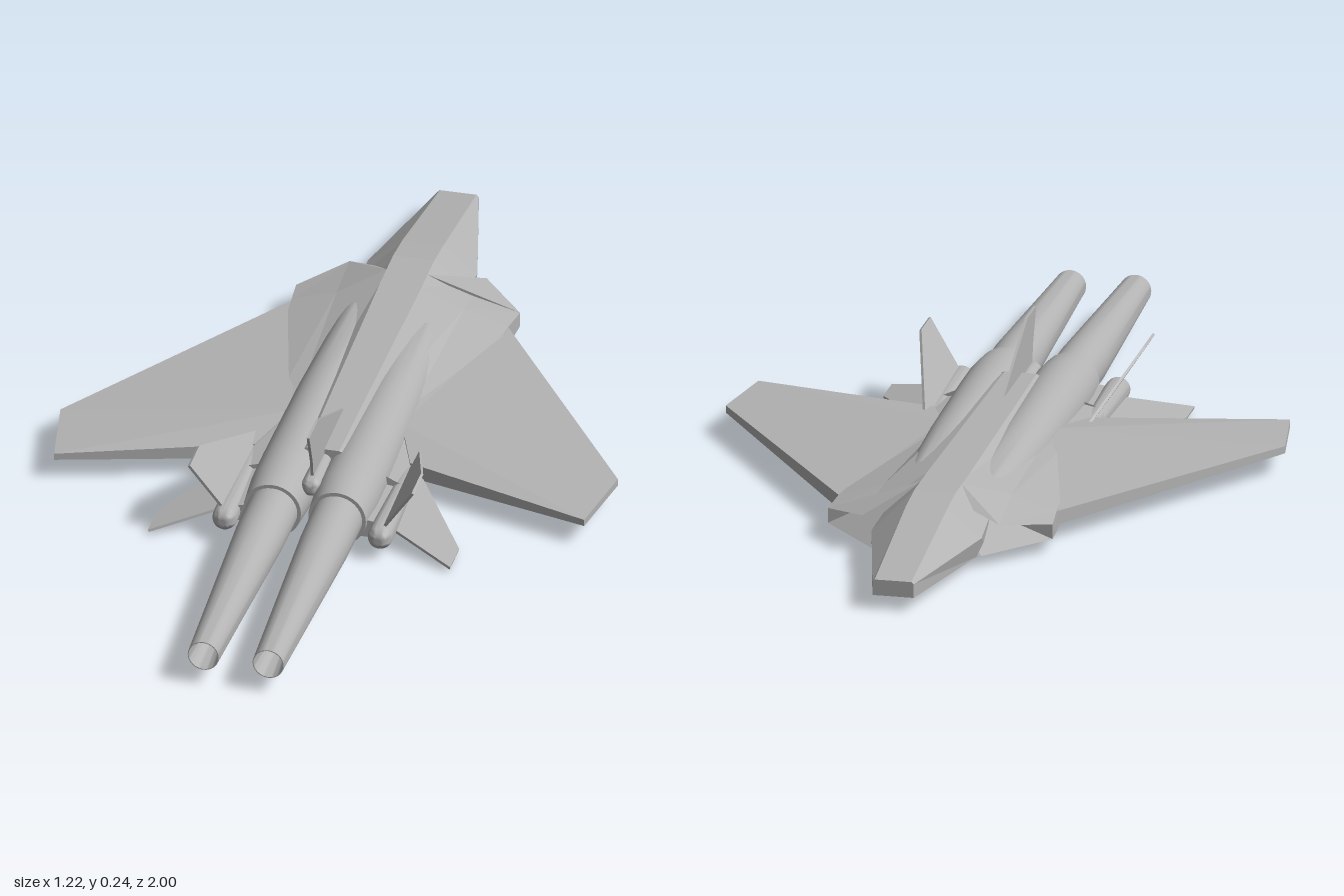
import * as THREE from 'three';
import { toCreasedNormals } from 'three/addons/utils/BufferGeometryUtils.js';

const grey = new THREE.MeshStandardMaterial({ color: 0xb2b2b2, side: THREE.DoubleSide });
grey.name = 'airframe grey';

function add(parent, name, geometry) {
  const mesh = new THREE.Mesh(geometry, grey);
  mesh.name = name;
  parent.add(mesh);
  return mesh;
}

// Faceted solid through rings of [x, y, z] points, capped at both ends
function loft(rings) {
  const pos = [];
  const tri = (a, b, c) => pos.push(...a, ...b, ...c);
  const n = rings[0].length;
  for (let r = 0; r + 1 < rings.length; r++) {
    for (let i = 0; i < n; i++) {
      const j = (i + 1) % n, p = rings[r], q = rings[r + 1];
      tri(p[i], q[i], p[j]);
      tri(p[j], q[i], q[j]);
    }
  }
  const first = rings[0], last = rings[rings.length - 1];
  for (let i = 1; i + 1 < n; i++) {
    tri(first[0], first[i], first[i + 1]);
    tri(last[0], last[i + 1], last[i]);
  }
  const g = new THREE.BufferGeometry();
  g.setAttribute('position', new THREE.Float32BufferAttribute(pos, 3));
  g.computeVertexNormals();
  return g;
}

// Complete a half section, listed from top to bottom, with its mirror image
const mirror = (half) => [...half, ...half.map(([x, y, z]) => [-x, y, z]).reverse()];
const atZ = (z, pts) => mirror(pts.map(([x, y]) => [x, y, z]));

// Flat fin of even thickness
function fin(points, t = 0.003) {
  const v = points.map((p) => new THREE.Vector3(...p));
  const n = v[1].clone().sub(v[0]).cross(v[2].clone().sub(v[0])).normalize().multiplyScalar(t);
  return loft([1, -1].map((s) => v.map((p) => p.clone().addScaledVector(n, s).toArray())));
}

// Round body along z from [radius, z] points
function turned(profile, sides = 32) {
  const g = new THREE.LatheGeometry(profile.map(([r, z]) => new THREE.Vector2(r, z)), sides);
  g.rotateX(Math.PI / 2);
  return toCreasedNormals(g, 0.6);
}

// Slim boom with a pointed start and a domed end
function boom(r, z0, z1) {
  const pts = [[0, z0], [r * 0.75, z0 + (z1 - z0) * 0.5], [r, z1 - r * 2.5]];
  for (let i = 0; i <= 6; i++) {
    const a = (i / 6) * Math.PI / 2;
    pts.push([r * Math.cos(a), z1 - r + r * Math.sin(a)]);
  }
  return turned(pts, 20);
}

export function createModel() {
  const model = new THREE.Group();
  model.name = 'jetAircraft';

  // Tapered nose with a flat spine
  add(model, 'nose', loft([
    atZ(-1, [[0.04, 0.07], [0.045, 0.065], [0.045, 0.035]]),
    atZ(-0.68, [[0.045, 0.13], [0.12, 0.07], [0.11, 0.028]]),
    atZ(-0.6, [[0.045, 0.14], [0.115, 0.08], [0.11, 0.025]]),
    atZ(-0.48, [[0.045, 0.14], [0.1, 0.09], [0.1, 0.024]]),
  ]));

  // Main body starting at the swept intake lips
  add(model, 'body', loft([
    mirror([[0.045, 0.14, -0.54], [0.15, 0.088, -0.64], [0.245, 0.068, -0.55],
      [0.245, 0.035, -0.55], [0.12, 0.03, -0.68]]),
    atZ(-0.48, [[0.045, 0.14], [0.14, 0.105], [0.238, 0.075], [0.238, 0.03], [0.15, 0.022]]),
    atZ(0.215, [[0.035, 0.14], [0.11, 0.085], [0.185, 0.07], [0.185, 0.025], [0.12, 0.02]]),
  ]));

  // Central boom and upright fin
  add(model, 'centreBoom', boom(0.022, -0.1, 0.34)).position.y = 0.11;
  add(model, 'centreFin', fin([[0, 0.13, 0.02], [0, 0.245, 0.27], [0, 0.245, 0.35], [0, 0.17, 0.32], [0, 0.11, 0.31]]));

  for (const [label, sign] of [['left', 1], ['right', -1]]) {
    const side = new THREE.Group();
    side.name = label + 'Side';
    side.scale.x = sign;
    model.add(side);

    // Wing: x, z, upper y, lower y
    const plan = [
      [0.12, 0, 0.095, 0.04], [0.12, -0.4, 0.09, 0.04], [0.235, -0.48, 0.073, 0.042],
      [0.61, 0.07, 0.068, 0.052], [0.58, 0.25, 0.067, 0.052], [0.17, 0.13, 0.08, 0.045],
    ];
    add(side, 'wing', loft([
      plan.map(([x, z, top]) => [x, top, z]),
      plan.map(([x, z, , low]) => [x, low, z]),
    ]));

    // Engine casing and long, hollow tail pipe
    add(side, 'engineCasing', turned([[0, -0.5], [0.05, -0.44], [0.064, -0.1], [0.069, 0.2], [0.069, 0.3], [0.063, 0.38], [0.054, 0.38]]))
      .position.set(0.071, 0.074, 0);
    add(side, 'tailPipe', turned([[0.055, 0.36], [0.054, 0.5], [0.034, 1], [0.032, 1], [0, 0.6]]))
      .position.set(0.071, 0.074, 0);

    // Outer boom joined to the engine by a shelf
    add(side, 'outerBoom', boom(0.027, -0.16, 0.425)).position.set(0.17, 0.055, 0);
    add(side, 'boomShelf', loft([0.2, 0.37].map((z) => [
      [0.09, 0.08, z], [0.17, 0.068, z], [0.17, 0.035, z], [0.09, 0.03, z],
    ])));

    // Raked upper fin and drooping tailplane
    add(side, 'upperFin', fin([[0.172, 0.07, 0.05], [0.245, 0.18, 0.33], [0.245, 0.18, 0.415], [0.176, 0.075, 0.395]]));
    add(side, 'tailplane', fin([[0.17, 0.055, 0.09], [0.33, 0.016, 0.35], [0.33, 0.016, 0.43], [0.17, 0.055, 0.35]]));
  }
  return model;
}
